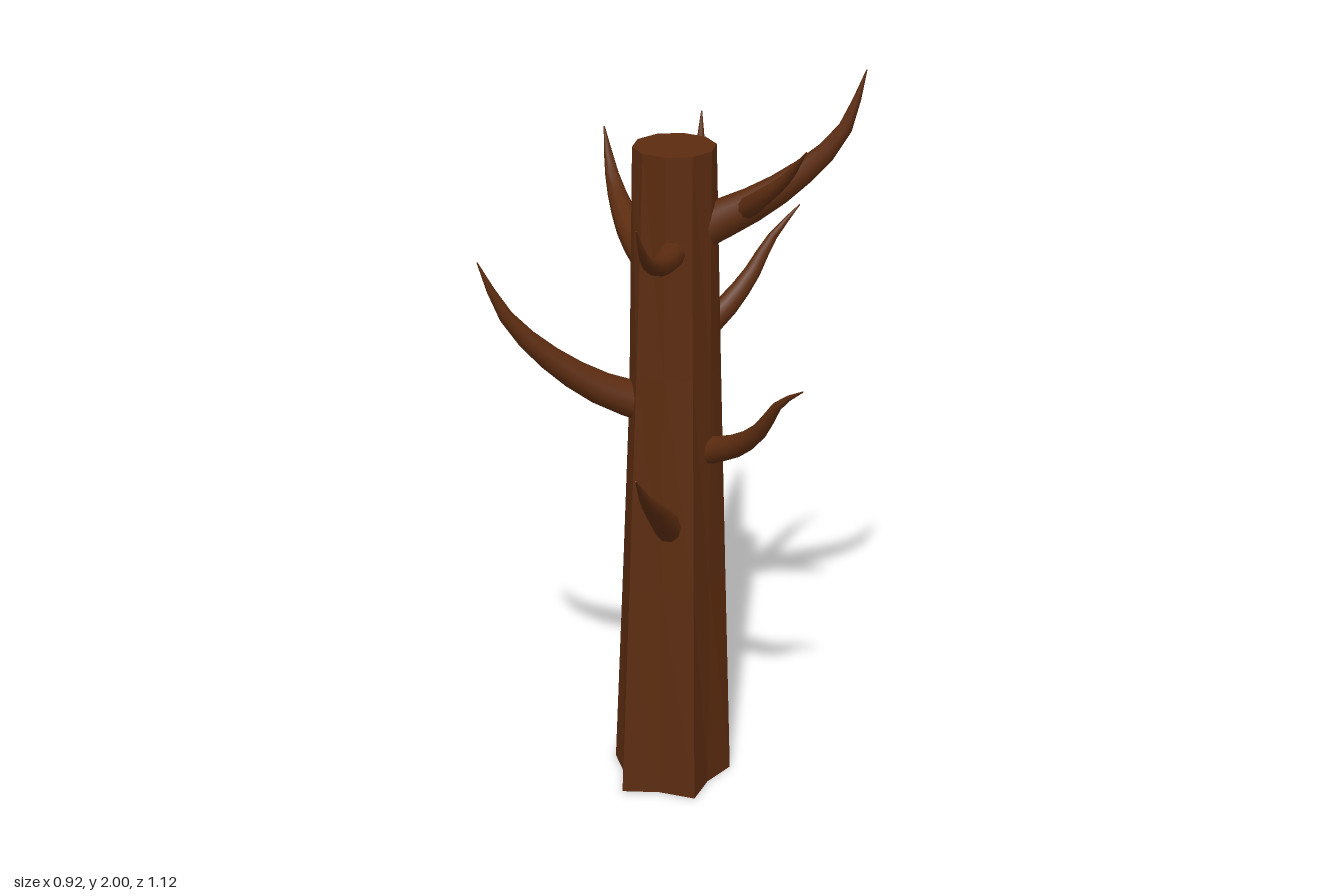
import * as THREE from 'three';

const bark = new THREE.MeshStandardMaterial({ color: 0x5c2c10, roughness: 1 });
const flatBark = new THREE.MeshStandardMaterial({ color: 0x5c2c10, roughness: 1, flatShading: true });

// Joins equal-sized rings of points into a closed skin with fan caps
function loft(rings) {
  const n = rings[0].length, pos = [], index = [];
  rings.forEach(r => r.forEach(p => pos.push(p.x, p.y, p.z)));
  for (let i = 0; i < rings.length - 1; i++) {
    for (let j = 0; j < n; j++) {
      const a = i * n + j, b = i * n + (j + 1) % n;
      index.push(a, b, a + n, b, b + n, a + n);
    }
  }
  [0, rings.length - 1].forEach((k, end) => {
    const c = new THREE.Vector3();
    rings[k].forEach(p => c.addScaledVector(p, 1 / n));
    const start = pos.length / 3;
    [c, ...rings[k]].forEach(p => pos.push(p.x, p.y, p.z));
    for (let j = 0; j < n; j++) {
      const a = start + 1 + j, b = start + 1 + (j + 1) % n;
      if (end) index.push(start, a, b); else index.push(start, b, a);
    }
  });
  const g = new THREE.BufferGeometry();
  g.setAttribute('position', new THREE.Float32BufferAttribute(pos, 3));
  g.setIndex(index);
  g.computeVertexNormals();
  return g;
}

// Trunk: five root ridges at the base blending into a round top
function trunkGeometry() {
  const sides = 10, rings = [];
  for (const [y, t] of [[0, 0], [0.6, 0.36], [1.2, 0.7], [1.79, 1]]) {
    const ring = [];
    for (let j = 0; j < sides; j++) {
      const a = 0.34 - j * Math.PI * 2 / sides;
      const r = THREE.MathUtils.lerp(j % 2 ? 0.122 : 0.168, 0.106, t);
      ring.push(new THREE.Vector3(
        THREE.MathUtils.lerp(-0.04, -0.015, t) + Math.cos(a) * r, y,
        THREE.MathUtils.lerp(0.08, 0.103, t) - Math.sin(a) * r));
    }
    rings.push(ring.reverse());
  }
  return loft(rings);
}

// Branch: tube along a curve, thinning to a point
function branchGeometry(points, radius) {
  const curve = new THREE.CatmullRomCurve3(points.map(p => new THREE.Vector3(...p)));
  const steps = 8, sides = 10;
  const { normals, binormals } = curve.computeFrenetFrames(steps);
  const rings = [];
  for (let i = 0; i <= steps; i++) {
    const c = curve.getPointAt(i / steps);
    const r = Math.max(0.0015, radius * Math.pow(1 - i / steps, 0.8));
    const ring = [];
    for (let j = 0; j < sides; j++) {
      const a = j * Math.PI * 2 / sides;
      ring.push(c.clone()
        .addScaledVector(normals[i], Math.cos(a) * r)
        .addScaledVector(binormals[i], Math.sin(a) * r));
    }
    rings.push(ring);
  }
  return loft(rings);
}

// Name, base radius, path from the trunk to the tip
const branches = [
  ['upperLeftBranch', 0.056, [[0.04, 1.57, 0.09], [0.19, 1.65, 0.08], [0.3, 1.73, 0.07], [0.4, 1.84, 0.065], [0.455, 2, 0.055]]],
  ['upperLeftTwig', 0.03, [[0.16, 1.63, 0.09], [0.21, 1.68, 0.15], [0.29, 1.76, 0.21], [0.35, 1.85, 0.275]]],
  ['lowerRightBranch', 0.055, [[-0.06, 1.09, 0.11], [-0.18, 1.15, 0.18], [-0.3, 1.25, 0.25], [-0.4, 1.38, 0.31], [-0.46, 1.53, 0.345]]],
  ['lowerLeftBranch', 0.038, [[0.06, 0.97, 0.1], [0.16, 1.02, 0.16], [0.23, 1.09, 0.22], [0.29, 1.19, 0.27], [0.36, 1.25, 0.32]]],
  ['upperFrontBranch', 0.037, [[0, 1.54, 0.15], [0, 1.54, 0.27], [0, 1.575, 0.4], [0, 1.63, 0.49], [0, 1.72, 0.56]]],
  ['lowerFrontBranch', 0.04, [[-0.012, 0.77, 0.17], [-0.015, 0.87, 0.3], [-0.015, 0.96, 0.42], [-0.015, 1.06, 0.525]]],
  ['upperBackBranch', 0.055, [[-0.07, 1.42, 0.02], [-0.17, 1.47, -0.1], [-0.235, 1.53, -0.2], [-0.275, 1.59, -0.27], [-0.3, 1.7, -0.3]]],
  ['lowerBackBranch', 0.078, [[-0.03, 1.07, 0.02], [-0.05, 1.18, -0.18], [-0.07, 1.32, -0.36], [-0.085, 1.46, -0.48], [-0.095, 1.68, -0.56]]],
  ['lowerBackTwig', 0.038, [[-0.02, 1.19, -0.16], [0.04, 1.24, -0.215], [0.1, 1.32, -0.28], [0.14, 1.4, -0.36], [0.205, 1.48, -0.425]]],
];

export function createModel() {
  const tree = new THREE.Group();
  tree.name = 'bareTree';
  const add = (name, geometry, material) => {
    const mesh = new THREE.Mesh(geometry, material);
    mesh.name = name;
    tree.add(mesh);
  };
  add('trunk', trunkGeometry(), flatBark);
  for (const [name, radius, points] of branches) add(name, branchGeometry(points, radius), bark);
  return tree;
}
